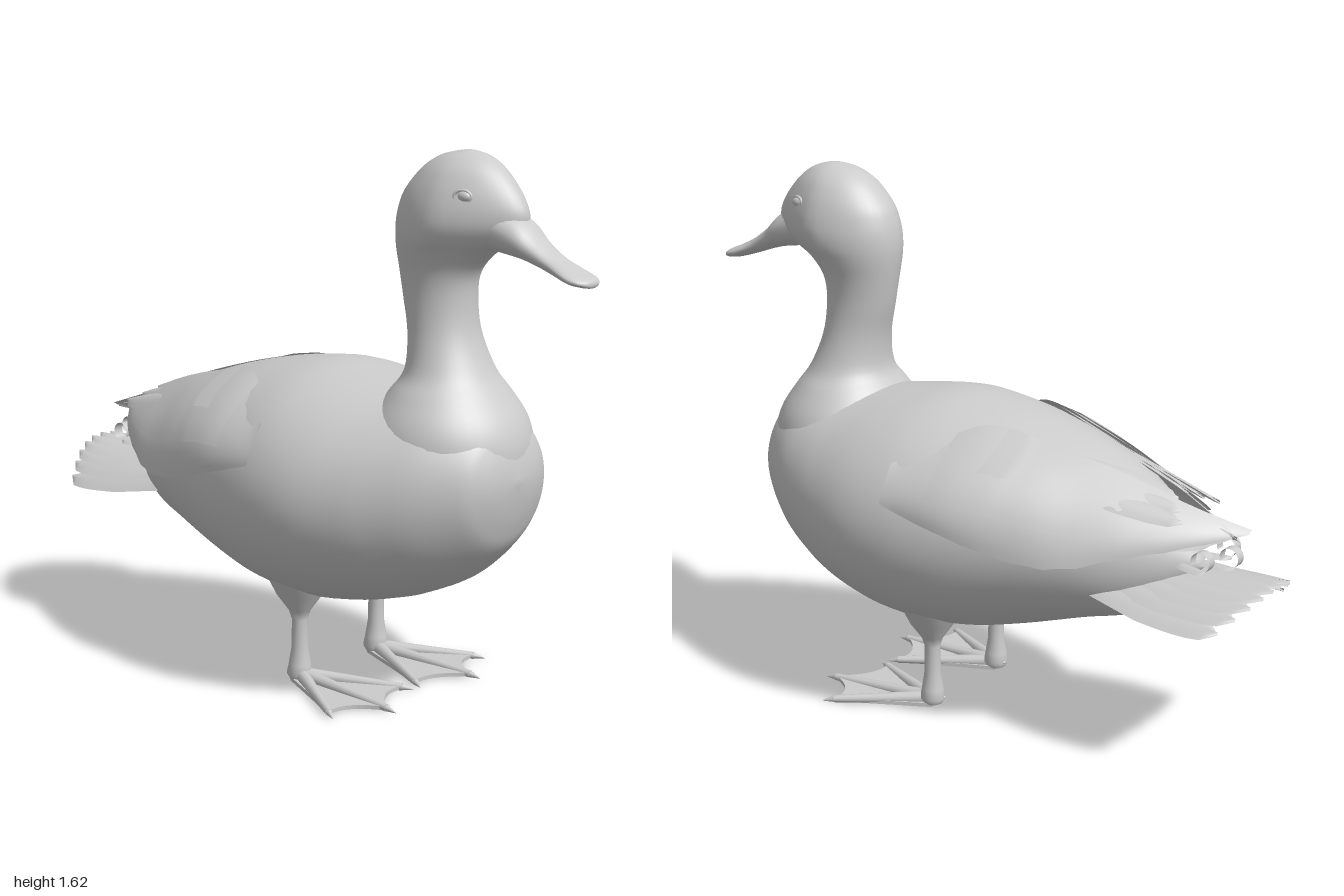
import * as THREE from 'three';
import { mergeVertices } from 'three/addons/utils/BufferGeometryUtils.js';

const solid = new THREE.MeshStandardMaterial({ color: 0xcccccc });
const thin = new THREE.MeshStandardMaterial({ color: 0xcccccc, side: THREE.DoubleSide });
const V = (x, y, z) => new THREE.Vector3(x, y, z);

function add(parent, name, geometry, material = solid) {
  const mesh = new THREE.Mesh(geometry, material);
  mesh.name = name;
  parent.add(mesh);
  return mesh;
}

// Smooth interpolation through the rows of a small table, u in 0..1
function sample(rows, u) {
  const f = Math.min(Math.max(u, 0), 1) * (rows.length - 1);
  const i = Math.min(Math.floor(f), rows.length - 2), t = f - i;
  const row = k => rows[Math.min(Math.max(k, 0), rows.length - 1)];
  return row(i).map((p1, c) => {
    const p0 = row(i - 1)[c], p2 = row(i + 1)[c], p3 = row(i + 2)[c];
    return p1 + 0.5 * t * (p2 - p0 + t * (2 * p0 - 5 * p1 + 4 * p2 - p3 + t * (3 * (p1 - p2) + p3 - p0)));
  });
}

// Grid surface from fn(u, v) -> [x, y, z]; equal points are welded
function surface(nu, nv, fn) {
  const pos = [], index = [];
  for (let i = 0; i <= nu; i++) for (let j = 0; j <= nv; j++) pos.push(...fn(i / nu, j / nv));
  for (let i = 0; i < nu; i++) for (let j = 0; j < nv; j++) {
    const a = i * (nv + 1) + j, b = a + nv + 1;
    index.push(a, b, a + 1, b, b + 1, a + 1);
  }
  let g = new THREE.BufferGeometry();
  g.setAttribute('position', new THREE.Float32BufferAttribute(pos, 3));
  g.setIndex(index);
  g = mergeVertices(g, 1e-5);
  g.computeVertexNormals();
  return g;
}

// Loft of upright ellipses running from front to back: rows [z, top, bottom, halfWidth]
const loftZ = (rows, nu, nv) => surface(nu, nv, (u, v) => {
  const [z, top, bottom, w] = sample(rows, u), a = (v % 1) * Math.PI * 2;
  return [Math.max(w, 0) * Math.cos(a), (top + bottom) / 2 + (top - bottom) / 2 * Math.sin(a), z];
});

// Curved feather from a to b with a rounded tip
function feather(parent, name, a, b, w, tilt = 0) {
  add(parent, name, surface(12, 6, (u, v) => {
    const s = v * 2 - 1, half = w * Math.sqrt(1 - u ** 6) * (0.45 + 0.55 * Math.min(1, u * 2));
    const p = a.clone().lerp(b, u);
    return [p.x + s * half * Math.cos(tilt), p.y + s * half * Math.sin(tilt) - s * s * 0.01, p.z];
  }), thin);
}

// Tapered round bar between two points
function bar(parent, name, a, b, ra, rb) {
  const m = add(parent, name, new THREE.CylinderGeometry(rb, ra, a.distanceTo(b), 12));
  m.position.copy(a).lerp(b, 0.5);
  m.quaternion.setFromUnitVectors(V(0, 1, 0), b.clone().sub(a).normalize());
}

const bodyRows = [
  [0.765, 0.71, 0.71, 0], [0.755, 0.77, 0.64, 0.09], [0.735, 0.83, 0.565, 0.15], [0.7, 0.88, 0.495, 0.2],
  [0.6, 0.93, 0.4, 0.28], [0.5, 0.94, 0.345, 0.335], [0.4, 0.945, 0.305, 0.38], [0.25, 0.965, 0.268, 0.425],
  [0.1, 0.98, 0.252, 0.43], [-0.05, 0.965, 0.265, 0.405], [-0.2, 0.935, 0.3, 0.36], [-0.4, 0.875, 0.36, 0.285],
  [-0.55, 0.8, 0.4, 0.205], [-0.66, 0.71, 0.47, 0.12], [-0.74, 0.61, 0.56, 0.03], [-0.75, 0.58, 0.58, 0]];

// Horizontal slices: [y, front z, back z, halfWidth, narrowing of the face]
const neckRows = [
  [0.72, 0.755, 0.25, 0.24, 0], [0.8, 0.752, 0.25, 0.25, 0], [0.87, 0.728, 0.29, 0.23, 0], [0.94, 0.68, 0.345, 0.185, 0],
  [1.0, 0.637, 0.385, 0.14, 0], [1.1, 0.595, 0.385, 0.11, 0], [1.2, 0.583, 0.362, 0.1, 0], [1.28, 0.595, 0.347, 0.106, 0.05],
  [1.34, 0.65, 0.338, 0.125, 0.2], [1.38, 0.725, 0.335, 0.142, 0.35], [1.42, 0.765, 0.337, 0.149, 0.4],
  [1.46, 0.772, 0.345, 0.146, 0.4], [1.5, 0.755, 0.36, 0.136, 0.35], [1.54, 0.725, 0.39, 0.12, 0.3],
  [1.58, 0.685, 0.43, 0.095, 0.2], [1.61, 0.64, 0.48, 0.06, 0.1], [1.625, 0.59, 0.54, 0.022, 0], [1.627, 0.565, 0.565, 0, 0]];

const billRows = [
  [1.0, 1.295, 1.295, 0], [0.995, 1.306, 1.285, 0.028], [0.975, 1.316, 1.285, 0.052], [0.94, 1.33, 1.29, 0.06],
  [0.88, 1.36, 1.308, 0.05], [0.82, 1.402, 1.328, 0.055], [0.76, 1.455, 1.343, 0.07], [0.64, 1.51, 1.36, 0.08]];

// Folded wing: [z, lower x, y, middle x, y, upper x, y]
const wingRows = [
  [0.1, 0.416, 0.72, 0.395, 0.77, 0.352, 0.83], [-0.1, 0.402, 0.66, 0.352, 0.8, 0.17, 0.93],
  [-0.3, 0.35, 0.6, 0.295, 0.765, 0.12, 0.89], [-0.45, 0.3, 0.59, 0.24, 0.73, 0.09, 0.85],
  [-0.6, 0.215, 0.625, 0.17, 0.715, 0.05, 0.8], [-0.75, 0.1, 0.655, 0.075, 0.7, 0.01, 0.745],
  [-0.88, -0.03, 0.685, -0.037, 0.69, -0.045, 0.695]];

function wingLayer(parent, name, side, u0, u1, t0, lift) {
  add(parent, name, surface(40, 14, (p, q) => {
    const scallop = 0.04 * Math.abs(Math.sin(p * 9 * Math.PI)) * p;
    const low = t0 + scallop, t = low + (1 - low) * q;
    const u = u0 + (u1 - u0) * p * (1 - 0.1 * (2 * q - 1) ** 2 * (u1 < 1 ? 1 : 0));
    const [z, ax, ay, bx, by, cx, cy] = sample(wingRows, u);
    const k = [(1 - t) * (1 - 2 * t), 4 * t * (1 - t), t * (2 * t - 1)];
    const raise = lift * Math.min(1, p * 4);
    const x = k[0] * ax + k[1] * bx + k[2] * cx + raise * 0.6;
    return [side * x, k[0] * ay + k[1] * by + k[2] * cy + raise * 0.7 + side * 0.004 * u, z];
  }), thin);
}

function wing(side) {
  const g = new THREE.Group();
  g.name = side > 0 ? 'leftWing' : 'rightWing';
  wingLayer(g, 'flightFeathers', side, 0, 1, 0, 0.004);
  wingLayer(g, 'middleFeathers', side, 0.1, 0.8, 0.3, 0.014);
  wingLayer(g, 'shoulderFeathers', side, 0.17, 0.68, 0.62, 0.022);
  // Long feathers along the back and at the wing tip
  for (let i = 0; i < 3; i++) {
    feather(g, 'backFeather', V(side * (0.1 + 0.05 * i), 0.875 - 0.025 * i, -0.36),
      V(side * (0.03 + 0.04 * i), 0.785 - 0.02 * i, -0.68 - 0.03 * i), 0.035, -side * 0.6);
    feather(g, 'tipFeather', V(side * (0.17 - 0.03 * i), 0.67 + 0.03 * i, -0.56),
      V(side * (0.03 - 0.03 * i), 0.675 + 0.012 * i, -0.8 - 0.035 * i), 0.028, -side * 0.7);
  }
  return g;
}

function leg(side) {
  const g = new THREE.Group();
  g.name = side > 0 ? 'leftLeg' : 'rightLeg';
  const x = side * 0.175;
  // Thigh and shank as one turned profile
  const profile = [[0.03, 0.012], [0.04, 0.03], [0.034, 0.06], [0.026, 0.11], [0.024, 0.2], [0.034, 0.23], [0.07, 0.28], [0.11, 0.36]];
  add(g, 'shank', new THREE.LatheGeometry(profile.map(p => new THREE.Vector2(...p)), 20)).position.set(x, 0, 0.085);
  // Three toes with claws, plus a hind toe
  const heel = V(x, 0.026, 0.09);
  const tips = [[0.03, 0.37], [0.195, 0.45], [0.335, 0.35]].map(([tx, tz]) => V(side * tx, 0.014, tz));
  for (const tip of tips) {
    bar(g, 'toe', heel, tip, 0.022, 0.011);
    const claw = tip.clone().sub(heel).setY(0).setLength(0.035).add(tip).setY(0.008);
    bar(g, 'claw', tip, claw, 0.01, 0.001);
  }
  bar(g, 'hindToe', V(x, 0.045, 0.075), V(side * 0.165, 0.03, 0.045), 0.014, 0.003);
  // Web with hollow edges between the toes
  const web = new THREE.Shape();
  web.moveTo(x - side * 0.025, 0.07);
  web.lineTo(tips[0].x, tips[0].z);
  web.quadraticCurveTo(side * 0.11, 0.34, tips[1].x, tips[1].z);
  web.quadraticCurveTo(side * 0.25, 0.33, tips[2].x, tips[2].z);
  web.lineTo(x + side * 0.025, 0.07);
  const flat = new THREE.ExtrudeGeometry(web, { depth: 0.012, bevelEnabled: false, curveSegments: 10 });
  flat.rotateX(Math.PI / 2);
  add(g, 'web', flat).position.y = 0.018;
  return g;
}

export function createModel() {
  const model = new THREE.Group();
  model.name = 'duck';
  add(model, 'body', loftZ(bodyRows, 60, 48));
  add(model, 'neckAndHead', surface(72, 40, (u, v) => {
    const [y, f, b, w, face] = sample(neckRows, u), a = (v % 1) * Math.PI * 2;
    const c = Math.cos(a);
    return [-Math.max(w, 0) * Math.sin(a) * (1 - face * Math.max(0, c)), y, (f + b) / 2 + (f - b) / 2 * c];
  }));
  add(model, 'bill', loftZ(billRows, 32, 24));

  for (const side of [1, -1]) {
    model.add(wing(side), leg(side));
    // Eye with a slim lid
    const eye = add(model, 'eye', new THREE.SphereGeometry(0.02, 16, 12));
    eye.position.set(side * 0.1, 1.51, 0.63);
    eye.scale.set(0.7, 0.8, 1.2);
    const lid = add(model, 'eyelid', new THREE.TorusGeometry(0.024, 0.005, 8, 20));
    lid.position.set(side * 0.105, 1.51, 0.63);
    lid.rotation.y = side * 1.2;
    lid.scale.y = 0.75;
  }

  // Fanned, arched tail
  const tail = new THREE.Group();
  tail.name = 'tail';
  for (let i = -5; i <= 5; i++) {
    const s = i / 5;
    feather(tail, 'tailFeather', V(0.17 * s, 0.565 - 0.03 * s * s, -0.42 - 0.1 * (1 - s * s)),
      V(0.205 * s, 0.575 - 0.095 * s * s, -1 + 0.09 * s * s), 0.06, -0.45 * s);
  }
  // Small curled feathers over the tail
  for (const [x, z] of [[-0.08, -0.79], [0, -0.84], [0.08, -0.79]]) {
    feather(tail, 'curlBase', V(x * 0.6, 0.6, -0.66), V(x, 0.595, z - 0.01), 0.025);
    const curl = add(tail, 'curl', new THREE.CylinderGeometry(0.03, 0.03, 0.035, 16, 1, true, 0, 4.4), thin);
    curl.rotation.set(0.4, 0, Math.PI / 2);
    curl.position.set(x, 0.625, z);
  }
  model.add(tail);
  return model;
}
